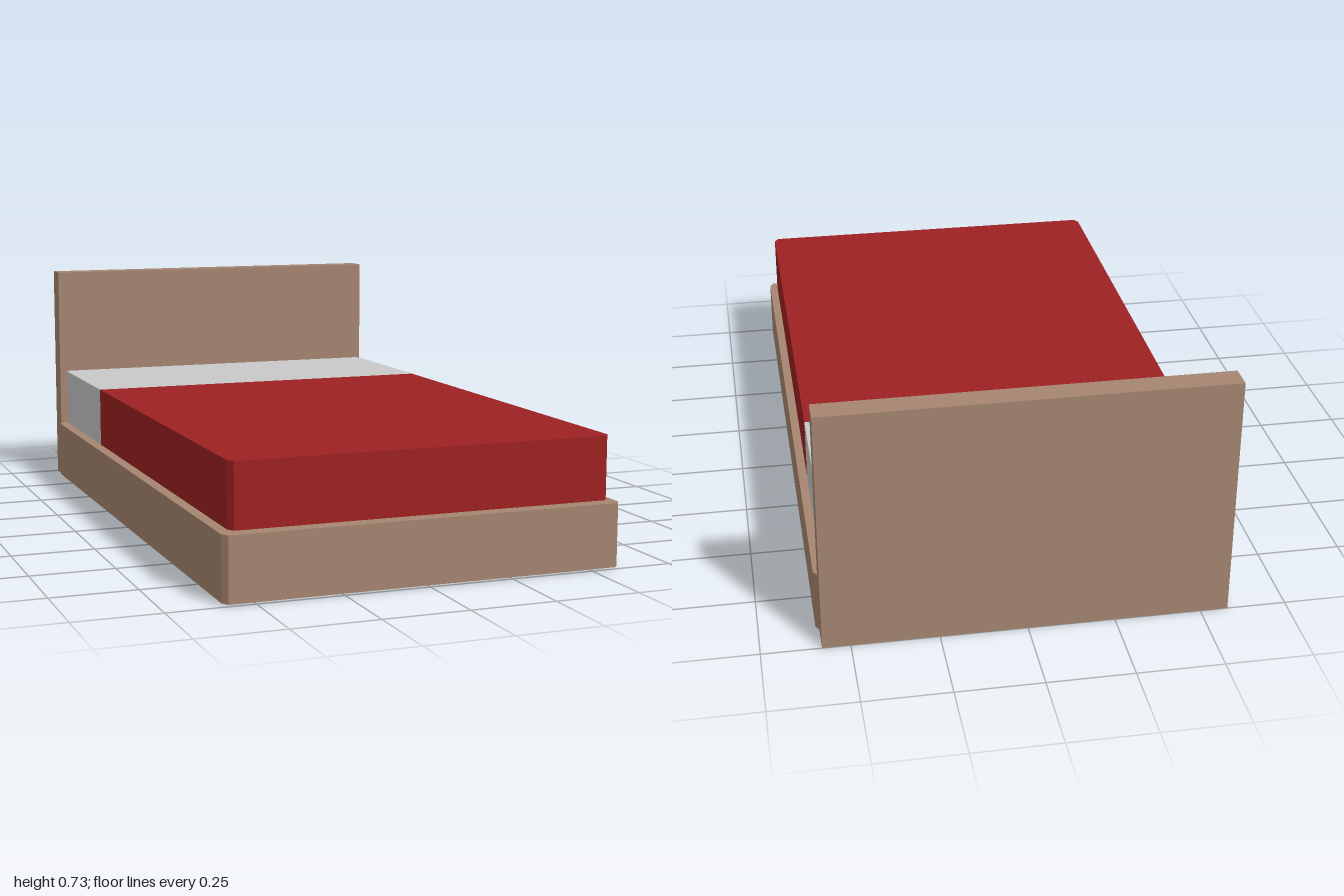
import * as THREE from 'three';

const wood = new THREE.MeshStandardMaterial({ name: 'wood', color: 0xa58570 });
const redCloth = new THREE.MeshStandardMaterial({ name: 'red cloth', color: 0x9d2122 });
const whiteCloth = new THREE.MeshStandardMaterial({ name: 'white cloth', color: 0xc8c8c8 });

// Upright slab with cut corners; cx and cz size the cuts, per end (back, front)
function slab(name, material, halfWidth, y0, y1, back, front, cutBack, cutFront) {
  const cx = 0.013, cz = 0.02;
  const corners = [];
  const addEnd = (z, s, cut) => {
    // s = +1 for the front end, -1 for the back end
    if (cut) {
      corners.push([s * halfWidth, z - s * cz], [s * (halfWidth - cx), z]);
      corners.push([-s * (halfWidth - cx), z], [-s * halfWidth, z - s * cz]);
    } else {
      corners.push([s * halfWidth, z], [-s * halfWidth, z]);
    }
  };
  addEnd(front, 1, cutFront);
  addEnd(back, -1, cutBack);
  const shape = new THREE.Shape(corners.map(([x, z]) => new THREE.Vector2(x, -z)));
  const geometry = new THREE.ExtrudeGeometry(shape, { depth: y1 - y0, bevelEnabled: false });
  geometry.rotateX(-Math.PI / 2).translate(0, y0, 0);
  const mesh = new THREE.Mesh(geometry, material);
  mesh.name = name;
  return mesh;
}

export function createModel() {
  const bed = new THREE.Group();
  bed.name = 'bed';

  // Base and headboard
  bed.add(slab('bedFrame', wood, 0.59, 0.005, 0.19, -0.925, 1, true, true));
  bed.add(slab('headboard', wood, 0.58, 0, 0.73, -1, -0.927, false, false));

  // Mattress: bare sheet at the head, blanket over the rest
  bed.add(slab('sheet', whiteCloth, 0.565, 0.195, 0.38, -0.9, -0.4, true, false));
  bed.add(slab('blanket', redCloth, 0.565, 0.195, 0.38, -0.4, 0.973, false, true));

  return bed;
}
